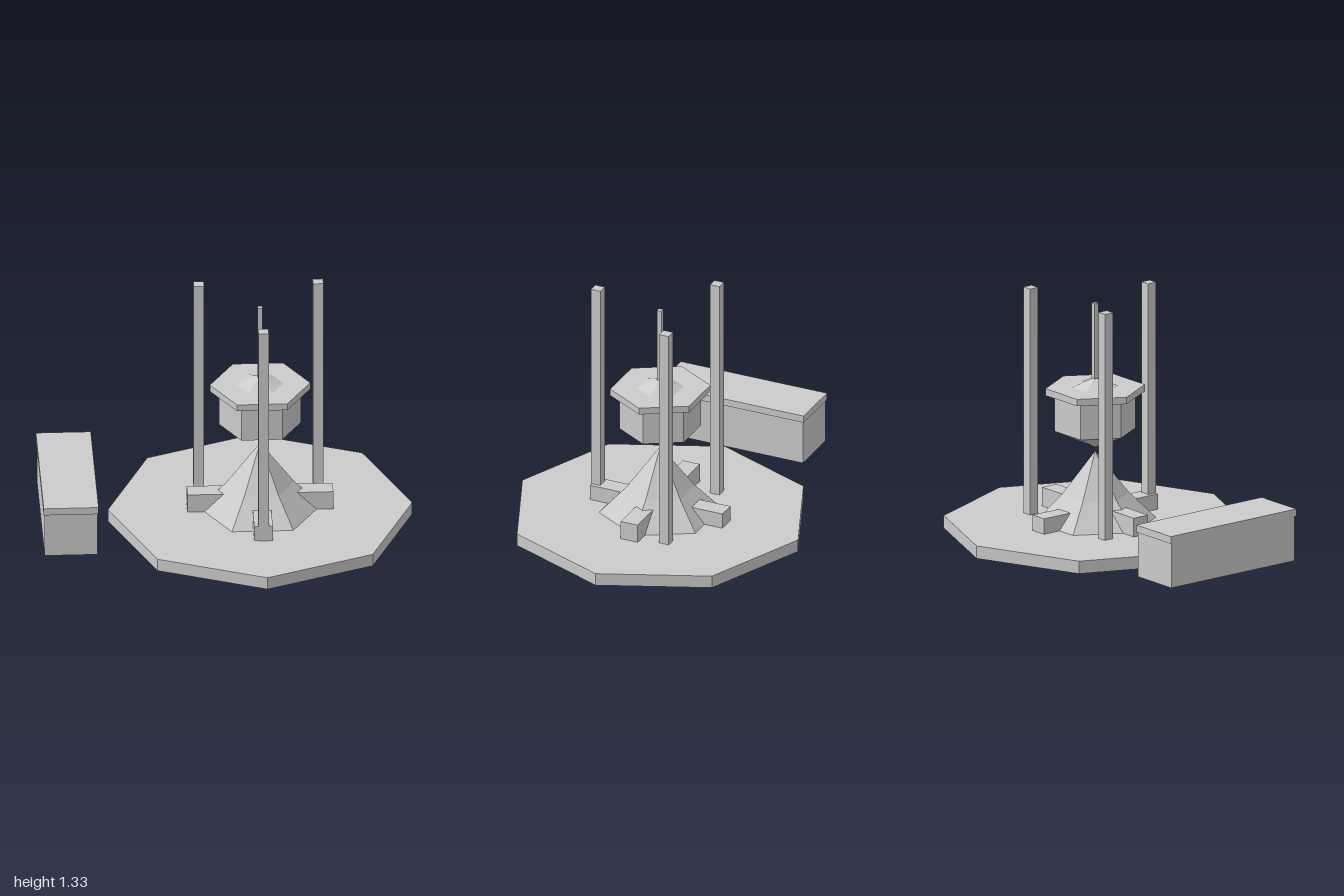
import * as THREE from 'three';

export function createModel() {
  const root = new THREE.Group();
  const material = new THREE.MeshStandardMaterial({ color: 0xcccccc, flatShading: true });

  function add(parent, name, geometry, x = 0, y = 0, z = 0) {
    const mesh = new THREE.Mesh(geometry, material);
    mesh.name = name;
    mesh.position.set(x, y, z);
    parent.add(mesh);
    return mesh;
  }

  // Box given by its size, resting on height y0
  function box(parent, name, w, h, d, x, y0, z) {
    return add(parent, name, new THREE.BoxGeometry(w, h, d), x, y0 + h / 2, z);
  }

  // Regular prism or frustum with corners on the x axis
  function prism(parent, name, rTop, rBottom, y0, y1, sides = 6, openEnded = false) {
    const g = new THREE.CylinderGeometry(rTop, rBottom, y1 - y0, sides, 1, openEnded, Math.PI / 2);
    return add(parent, name, g, 0, (y0 + y1) / 2, 0);
  }

  const tower = new THREE.Group();
  tower.name = 'tower';
  tower.position.x = 0.183;
  root.add(tower);

  // Octagonal platform
  const floor = 0.07;
  prism(tower, 'platform', 0.817, 0.817, 0, floor, 8);

  // Hexagonal pedestal: wide skirt, then a steeper spire
  prism(tower, 'pedestalSkirt', 0.185, 0.33, floor, 0.215, 6, true);
  prism(tower, 'pedestalSpire', 0, 0.185, 0.215, 0.455, 6, true);

  // Four buttress feet, the side pair a little taller
  for (const s of [-1, 1]) {
    box(tower, 'sideFoot', 0.25, 0.104, 0.1, s * 0.267, floor, 0);
    box(tower, 'endFoot', 0.1, 0.086, 0.25, 0, floor, s * 0.267);
  }

  // Three tall posts around the pedestal
  for (let i = 0; i < 3; i++) {
    const a = (i * 2 * Math.PI) / 3;
    box(tower, 'post', 0.056, 1.26, 0.056, 0.37 * Math.sin(a), floor, 0.37 * Math.cos(a));
  }

  // Floating pod with pointed underside, rim, roof and mast
  const pod = new THREE.Group();
  pod.name = 'pod';
  tower.add(pod);
  prism(pod, 'podPoint', 0.22, 0, 0.475, 0.573, 6, true);
  prism(pod, 'podBody', 0.22, 0.22, 0.573, 0.775, 6, true);
  prism(pod, 'podRim', 0.27, 0.27, 0.775, 0.813);
  prism(pod, 'podRoof', 0, 0.125, 0.813, 0.867, 6, true);
  box(pod, 'mast', 0.027, 0.44, 0.027, 0, 0.84, 0);

  // Long chest beside the platform
  const chest = new THREE.Group();
  chest.name = 'chest';
  root.add(chest);
  box(chest, 'chestBody', 0.283, 0.25, 0.85, -0.853, 0.026, 0);
  box(chest, 'chestLid', 0.295, 0.04, 0.865, -0.8525, 0.275, 0);

  return root;
}
